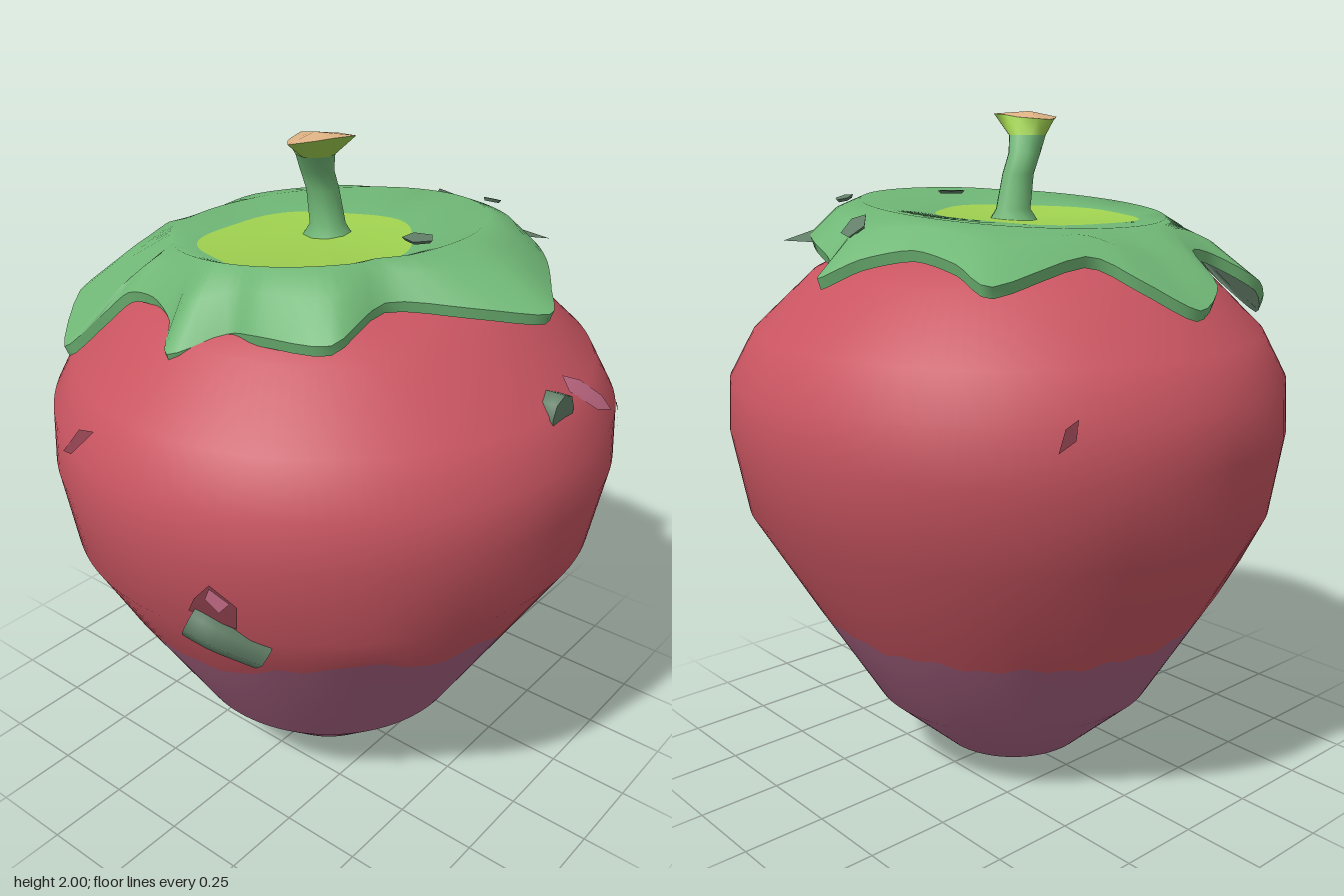
import * as THREE from 'three';

const mat = (name, color, side = THREE.FrontSide) => {
  const m = new THREE.MeshStandardMaterial({ color, side });
  m.name = name;
  return m;
};

// Linear interpolation in a table of [key, value]
function interp(table, t) {
  for (let i = 1; i < table.length; i++) {
    const [k0, v0] = table[i - 1], [k1, v1] = table[i];
    if (t <= k1) return v0 + (v1 - v0) * Math.max(0, (t - k0) / (k1 - k0));
  }
  return table[table.length - 1][1];
}

// Smooth skin over closed rings of [x, y, z]; rowMats gives a material index per band
function skin(rings, rowMats) {
  const n = rings[0].length, idx = [], g = new THREE.BufferGeometry();
  for (let i = 0; i < rings.length - 1; i++) {
    if (rowMats) g.addGroup(idx.length, n * 6, rowMats[i]);
    for (let j = 0; j < n; j++) {
      const a = i * n + j, b = i * n + (j + 1) % n;
      idx.push(a, b, a + n, b, b + n, a + n);
    }
  }
  g.setAttribute('position', new THREE.Float32BufferAttribute(rings.flat(2), 3));
  g.setIndex(idx);
  g.computeVertexNormals();
  return g;
}

// Angle 0 faces the front and grows towards +x
const ring = (n, f) => Array.from({ length: n }, (_, j) => f(j / n * Math.PI * 2));

// Fruit profile: height, radius
const PROFILE = [[0, 0], [0.006, 0.08], [0.05, 0.23], [0.24, 0.44], [0.86, 0.82], [1.1, 0.866],
  [1.25, 0.858], [1.38, 0.785], [1.55, 0.6], [1.61, 0.48], [1.63, 0.2], [1.635, 0]];
// Upper edge of the dark tip: angle, height
const EDGE = [[0, 0.6], [0.3, 0.62], [0.48, 0.68], [0.8, 0.74], [1.1, 0.66], [1.34, 0.69], [1.57, 0.6],
  [1.88, 0.57], [2.05, 0.59], [2.18, 0.63], [2.21, 0.73], [2.35, 0.73], [2.39, 0.64], [2.65, 0.6], [2.9, 0.54],
  [3.3, 0.52], [4.6, 0.5], [5.08, 0.52], [5.18, 0.71], [5.4, 0.7], [5.62, 0.62], [6.284, 0.6]];

// Point on the fruit; its upper half is flatter towards front right and, slightly, back left
function bodyPoint(a, y, lift = 0) {
  const side = Math.sin(a + Math.PI / 4 + Math.PI / 2);
  const flat = (side > 0 ? 0.055 * side ** 6 : 0.018 * side ** 6) * THREE.MathUtils.smoothstep(y, 0.6, 0.95);
  const r = interp(PROFILE, y) * (1 - flat) + lift;
  return [Math.sin(a) * r, y, Math.cos(a) * r];
}

// Thin plate lying on the fruit: corners as [angle, height], anticlockwise
function patch(corners) {
  const c = [0, 1].map(k => corners.reduce((s, p) => s + p[k], 0) / corners.length);
  const pts = [c, ...corners].map(([a, y]) => bodyPoint(a, y, 0.008)), idx = [];
  corners.forEach((_, i) => idx.push(0, i + 1, (i + 1) % corners.length + 1));
  const g = new THREE.BufferGeometry();
  g.setAttribute('position', new THREE.Float32BufferAttribute(pts.flat(), 3));
  g.setIndex(idx);
  g.computeVertexNormals();
  return g;
}

// Leaf outline seen from above, with tip heights: x, y, z
const LEAF = [[-0.01, 1.53, 0.64], [0.1, 1.58, 0.53], [0.2, 1.6, 0.53], [0.4, 1.61, 0.48], [0.42, 1.67, 0.29],
  [0.6, 1.66, 0.16], [0.74, 1.64, 0.03], [0.68, 1.66, -0.08], [0.55, 1.66, -0.28], [0.4, 1.65, -0.45],
  [0.2, 1.64, -0.57], [0.08, 1.6, -0.6], [0.02, 1.56, -0.68], [-0.06, 1.61, -0.6], [-0.2, 1.64, -0.53],
  [-0.4, 1.62, -0.55], [-0.56, 1.58, -0.57], [-0.54, 1.63, -0.24], [-0.64, 1.57, -0.14], [-0.73, 1.49, -0.01],
  [-0.68, 1.54, 0.12], [-0.54, 1.62, 0.18], [-0.52, 1.6, 0.3], [-0.57, 1.52, 0.45], [-0.45, 1.43, 0.62],
  [-0.37, 1.52, 0.54], [-0.3, 1.59, 0.5], [-0.2, 1.6, 0.5], [-0.1, 1.57, 0.54]];

export function createModel() {
  const group = new THREE.Group();
  const red = mat('berry red', 0xc95561);
  const purple = mat('purple tip', 0xa86382);
  const green = mat('leaf green', 0x70b776);
  const lime = mat('lime green', 0xa0d250);
  const tan = mat('cut stem tan', 0xdfb385);
  const shade = mat('dull green', 0x627f68, THREE.DoubleSide);
  const pale = mat('leaf underside green', 0x7fa086);
  const dark = mat('hole dark red', 0x8a3f4c);
  const pink = mat('hole pink', 0xcc708c);
  const add = (name, geo, m) => {
    const mesh = new THREE.Mesh(geo, m);
    mesh.name = name;
    group.add(mesh);
    return mesh;
  };

  // Fruit, with a jagged edge between tip and upper flesh
  const tipEdge = a => interp(EDGE, a) + 0.014 * Math.sin(a * 23) * Math.sin(a * 9);
  const rows = PROFILE.map(([y]) => () => y);
  rows.splice(4, 0, tipEdge);
  const bands = rows.slice(1).map((_, i) => (i < 4 ? 0 : 1));
  add('fruit', skin(rows.map(h => ring(120, a => bodyPoint(a, h(a)))), bands), [purple, red]);

  // Leafy cap: rim, drooping lobes, raised shoulder, lime centre
  const curve = new THREE.CatmullRomCurve3(LEAF.map(p => new THREE.Vector3(...p)), true, 'catmullrom', 0.4);
  const rim = Array.from({ length: 116 }, (_, i) => curve.getPoint(i / 116).toArray());
  const shoulder = rim.map(([x, , z]) => {
    const r = Math.hypot(x, z), k = Math.min(0.45, r * 0.84) / r;
    return [x * k, 1.728 + 0.09 * x * k, z * k];
  });
  const lobes = rim.map((p, i) => p.map((v, k) => (v + shoulder[i][k]) / 2 + (k === 1 ? 0.02 : 0)));
  const limeEdge = rim.map(([x, , z]) => {
    const a = Math.atan2(x, z), r = 0.3 + 0.012 * Math.sin(a * 5);
    return [Math.sin(a) * r, 1.7 + 0.05 * Math.sin(a) * r, Math.cos(a) * r + 0.09];
  });
  const centre = rim.map(() => [0, 1.69, 0.03]);
  add('leafCap', skin([rim, lobes, shoulder, limeEdge, centre], [0, 0, 0, 1]), [green, lime]);
  const lower = (r, d) => r.map(([x, y, z]) => [x * 0.985, y - d, z * 0.985]);
  const under = lower(rim, 0.03);
  add('leafRim', skin([under, rim]), green);
  add('leafUnderside', skin([lower(centre, 0.04), lower(shoulder, 0.04), lower(lobes, 0.035), under]), pale);

  // Small dull tears in the leaf, and a folded flap at the back
  for (const [x, y, z, r, turn, tilt] of [[0.34, 1.757, 0.04, 0.045, 0.3, 0], [0.04, 1.688, -0.54, 0.045, 1, -0.75],
    [0.28, 1.752, -0.41, 0.028, 2, -0.3]]) {
    const tear = add('leafTear', new THREE.CylinderGeometry(r, r * 0.8, 0.009, 5), shade);
    tear.position.set(x, y, z);
    tear.rotation.set(tilt, turn, 0);
  }
  const flap = new THREE.BufferGeometry().setFromPoints(
    [[0.18, 1.64, -0.57], [0.4, 1.66, -0.43], [0.41, 1.63, -0.54]].map(p => new THREE.Vector3(...p)));
  flap.computeVertexNormals();
  add('leafFlap', flap, shade);

  // Bent stem with a flared, cut end: x, y, z, radius
  const stem = [[-0.02, 1.67, -0.02, 0.085], [-0.02, 1.72, -0.02, 0.052], [-0.03, 1.82, -0.01, 0.047],
    [-0.025, 1.88, 0.02, 0.048], [-0.01, 1.93, 0.045, 0.055]];
  const stemRings = stem.map(([x, y, z, r]) => ring(9, a => [x + Math.sin(a) * r, y, z + Math.cos(a) * r]));
  const flare = ring(9, a => {
    const r = 0.087 + 0.025 * Math.cos(a * 3);
    return [0.02 + Math.sin(a) * r, 1.985 + 0.01 * Math.sin(a), 0.083 + Math.cos(a) * r];
  });
  add('stem', skin(stemRings), green);
  add('stemFlare', skin([stemRings[4], flare]), lime);
  add('stemCut', skin([flare, flare.map(() => [0.02, 2, 0.083])]), tan);

  // Bite holes on the skin
  add('frontHole', patch([[0.24, 0.93], [0.4, 0.9], [0.41, 0.98], [0.33, 1.04], [0.27, 0.98]]), dark);
  add('frontHoleFlesh', patch([[0.31, 0.99], [0.35, 0.95], [0.39, 0.99], [0.33, 1.03]]).translate(0.001, 0, 0.003), pink);
  add('sideHole', patch([[1.66, 1.4], [1.78, 1.32], [1.9, 1.28], [1.87, 1.33], [1.77, 1.4], [1.69, 1.43]]), pink);
  add('sideNick', patch([[1.97, 1.2], [2.01, 1.26], [2.0, 1.27], [1.97, 1.25]]), dark);
  add('upperHole', patch([[-0.33, 1.23], [-0.25, 1.25], [-0.17, 1.33], [-0.26, 1.31]]), dark);
  add('backHole', patch([[-2.18, 1.19], [-2.13, 1.22], [-2.12, 1.27], [-2.16, 1.25]]), dark);

  // Grubs poking out of the holes
  const grub = (name, pts, r, faceMat) => {
    const path = new THREE.CatmullRomCurve3(pts.map(p => new THREE.Vector3(...p)));
    add(name, new THREE.TubeGeometry(path, 6, r, 8), shade);
    const cap = add(name + 'Face', new THREE.CircleGeometry(r, 8), faceMat);
    cap.position.copy(path.getPoint(0));
    cap.lookAt(path.getPoint(0).sub(path.getTangent(0)));
  };
  grub('frontGrub', [[0.19, 0.9, 0.79], [0.25, 0.87, 0.765], [0.34, 0.8, 0.68]], 0.062, green);
  grub('sideGrub', [[0.795, 1.37, 0.01], [0.76, 1.37, 0.01], [0.7, 1.36, 0]], 0.055, shade);

  return group;
}
